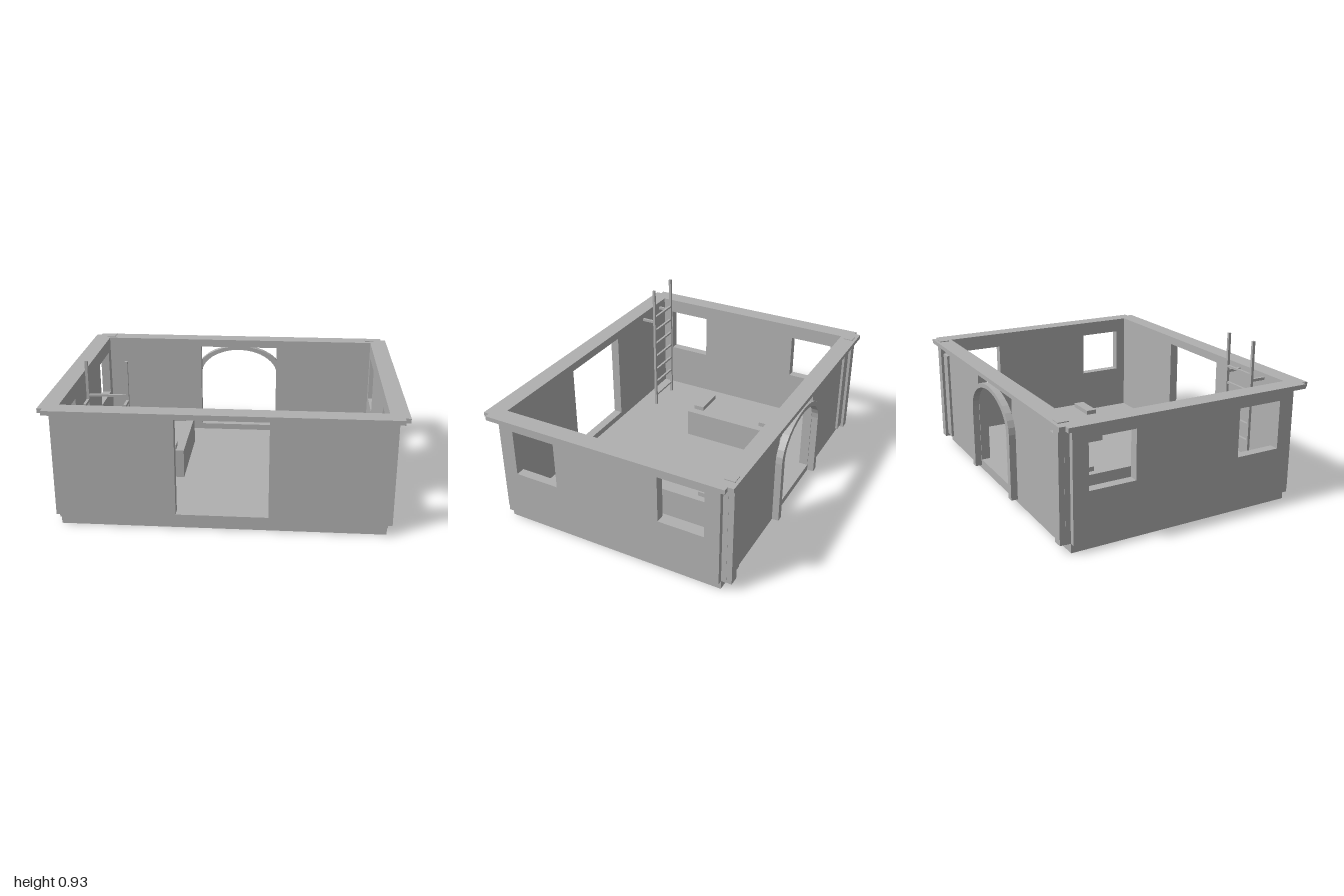
import * as THREE from 'three';

export function createModel() {
  const model = new THREE.Group();
  const stone = new THREE.MeshStandardMaterial({ color: 0xb0b0b0 });
  stone.name = 'plain grey';

  const add = (geometry, name) => {
    const mesh = new THREE.Mesh(geometry, stone);
    mesh.name = name;
    model.add(mesh);
    return mesh;
  };
  // box given by its limits on each axis
  const box = (name, x0, x1, y0, y1, z0, z1) => {
    const g = new THREE.BoxGeometry(x1 - x0, y1 - y0, z1 - z0);
    g.translate((x0 + x1) / 2, (y0 + y1) / 2, (z0 + z1) / 2);
    return add(g, name);
  };
  const polygon = (points) => points.map(([x, y]) => new THREE.Vector2(x, y));
  const rect = (x0, x1, y0, y1) => polygon([[x0, y0], [x1, y0], [x1, y1], [x0, y1]]);
  const extrude = (outline, holes, depth) => {
    const shape = new THREE.Shape(outline);
    holes.forEach((h) => shape.holes.push(new THREE.Path(h)));
    return new THREE.ExtrudeGeometry(shape, { depth, bevelEnabled: false });
  };

  // base slab with the floor on top
  box('base', -0.92, 0.92, 0, 0.056, -0.69, 0.69);

  // front and back walls with a large doorway each
  const doorway = rect(-0.26, 0.26, 0.095, 0.665);
  for (const [name, z] of [['frontWall', 0.665], ['backWall', -0.72]]) {
    add(extrude(rect(-0.92, 0.92, 0.055, 0.69), [doorway], 0.055).translate(0, 0, z), name);
  }

  // side walls with two windows each
  const windows = [rect(-0.6, -0.325, 0.34, 0.625), rect(0.325, 0.6, 0.34, 0.625)];
  for (const [name, x] of [['leftWall', 0.895], ['rightWall', -0.95]]) {
    const wall = extrude(rect(-0.69, 0.69, 0.055, 0.69), windows, 0.055);
    add(wall.rotateY(Math.PI / 2).translate(x, 0, 0), name);
  }

  // top rim with notched corners
  const rimOutline = polygon([
    [-0.97, -0.77], [0.97, -0.77], [0.97, -0.735], [1, -0.735],
    [1, 0.735], [0.97, 0.735], [0.97, 0.77], [-0.97, 0.77],
    [-0.97, 0.735], [-1, 0.735], [-1, -0.735], [-0.97, -0.735],
  ]);
  const rim = extrude(rimOutline, [rect(-0.895, 0.895, -0.665, 0.665)], 0.026);
  add(rim.rotateX(-Math.PI / 2).translate(0, 0.689, 0), 'rim');

  // arched frame standing against the back doorway
  const arc = (a, b, from, to) => Array.from({ length: 17 }, (_, i) => {
    const t = from + ((to - from) * i) / 16;
    return [a * Math.cos(t), 0.45 + b * Math.sin(t)];
  });
  const archOutline = polygon([
    [0.305, 0.056], ...arc(0.305, 0.205, 0, Math.PI), [-0.305, 0.056],
    [-0.265, 0.056], ...arc(0.265, 0.18, Math.PI, 0), [0.265, 0.056],
  ]);
  add(extrude(archOutline, [], 0.04).translate(0, 0, -0.76), 'backArch');

  for (const s of [-1, 1]) {
    const mirrored = (name, x0, x1, ...rest) =>
      box(name, Math.min(s * x0, s * x1), Math.max(s * x0, s * x1), ...rest);

    // back corner posts, rising just through the rim, and side panels
    mirrored('cornerPost', 0.862, 0.919, 0.056, 0.72, -0.752, -0.692);
    mirrored('backPanel', 0.79, 0.862, 0.075, 0.635, -0.735, -0.72);

    // low beds with a pillow block at each end
    mirrored('bed', 0.285, 0.56, 0.056, 0.235, -0.425, 0.15);
    for (const z of [-0.41, 0.06]) {
      mirrored('pillow', 0.335, 0.52, 0.235, 0.262, z, z + 0.066);
    }
  }

  // ladder by the front wall
  for (const x of [-0.768, -0.545]) {
    box('ladderRail', x, x + 0.015, 0.056, 0.93, 0.534, 0.55);
    box('ladderBracket', x, x + 0.015, 0.693, 0.709, 0.55, 0.63);
  }
  for (let i = 0; i < 7; i++) {
    const y = 0.725 - i * 0.1;
    box('ladderRung', -0.753, -0.545, y, y + 0.012, 0.535, 0.549);
  }

  return model;
}
